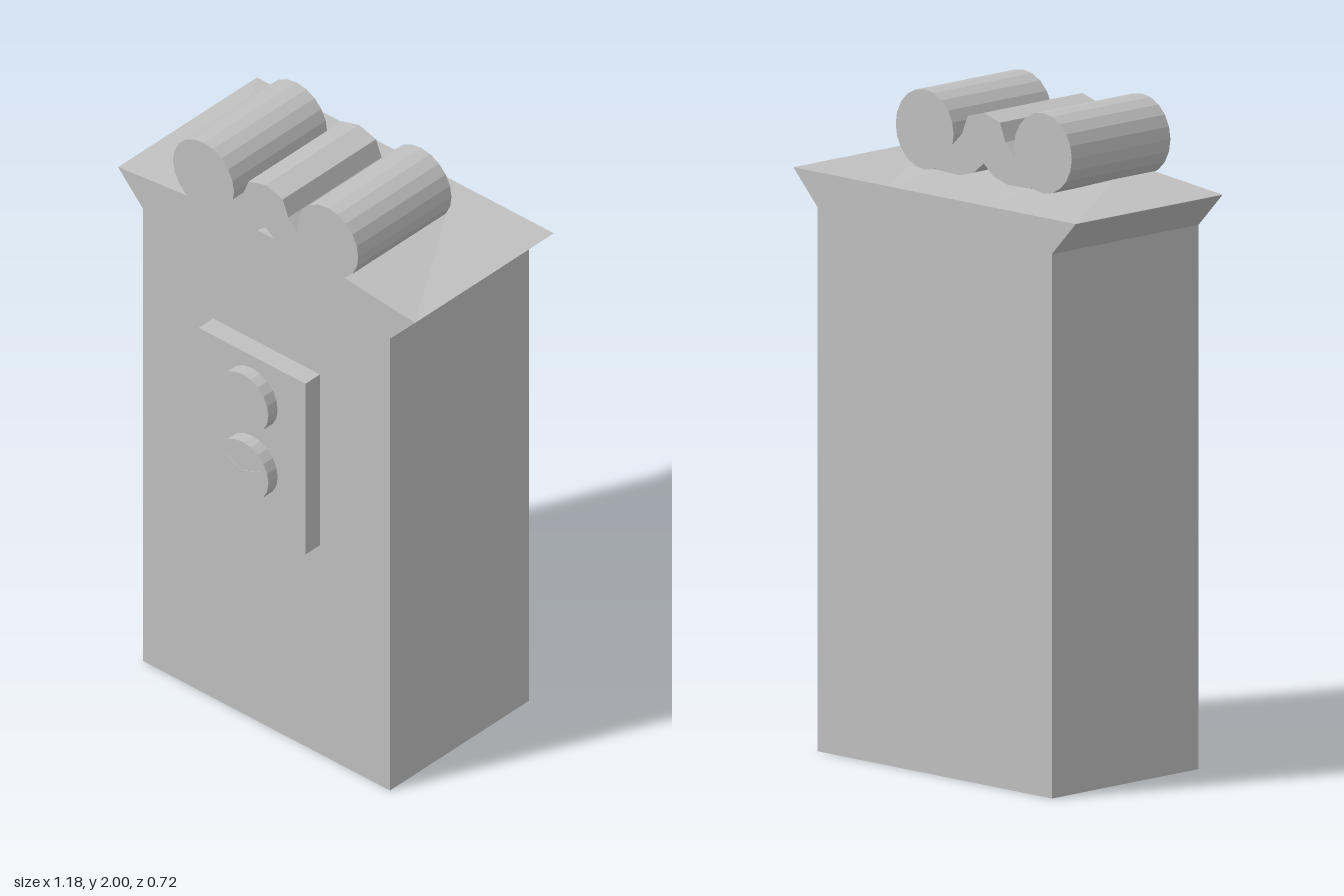
import * as THREE from 'three';

const BACK = -0.362, FRONT = 0.25;

export function createModel() {
  const model = new THREE.Group();
  model.name = 'callPanelTower';
  const grey = new THREE.MeshStandardMaterial({ color: 0xc0c0c0 });
  grey.name = 'plainGrey';

  // Extrude an outline of [x, y] points between two depths, with flat facets.
  function slab(name, points, z0, z1, adjust) {
    const shape = new THREE.Shape(points.map(([x, y]) => new THREE.Vector2(x, y)));
    const geo = new THREE.ExtrudeGeometry(shape, { depth: z1 - z0, bevelEnabled: false });
    geo.translate(0, 0, z0);
    if (adjust) adjust(geo.attributes.position);
    geo.computeVertexNormals();
    const mesh = new THREE.Mesh(geo, grey);
    mesh.name = name;
    model.add(mesh);
    return mesh;
  }

  const circle = (cx, cy, r, n) => Array.from({ length: n }, (_, i) => {
    const a = (i / n) * Math.PI * 2;
    return [cx + r * Math.cos(a), cy + r * Math.sin(a)];
  });

  // Close a half outline (right side, ordered) with its mirror image.
  const mirrored = (half) => [
    ...half,
    ...half.slice().reverse().filter(([x]) => x > 0).map(([x, y]) => [-x, y]),
  ];

  // Tower with flared eaves; the roof is raised at the front and level at the back.
  const eaves = 1.745;
  slab('body', mirrored([[0.49, 0], [0.49, 1.64], [0.59, eaves], [0.2, 1.785], [0, 1.781]]),
    BACK, FRONT, (pos) => {
      for (let i = 0; i < pos.count; i++) {
        if (pos.getZ(i) < 0 && pos.getY(i) > eaves) pos.setY(i, eaves);
      }
    });

  // Roof ornament: two rolls joined by a small arched crest.
  const z0 = -0.157, z1 = 0.254;
  for (const side of [-1, 1]) {
    slab(side < 0 ? 'rightRoll' : 'leftRoll', circle(side * 0.247, 1.879, 0.121, 20), z0, z1);
  }
  const upper = [[0.2, 1.8], [0.13, 1.85], [0.09, 1.89], [0.068, 1.945], [0, 1.965]];
  const lower = [[0, 1.812], [0.04, 1.78], [0.1, 1.762], [0.2, 1.765]];
  const flip = (pts) => pts.filter(([x]) => x > 0).reverse().map(([x, y]) => [-x, y]);
  slab('crest', [...upper, ...flip(upper), ...flip(lower), ...lower], z0, z1);

  // Control panel on the front.
  slab('controlPanel', [[-0.212, 0.757], [0.212, 0.757], [0.212, 1.377], [-0.212, 1.377]], FRONT, 0.314);

  // Round buttons with arrowheads.
  for (const [name, cy, dir] of [['up', 1.23, 1], ['down', 0.985, -1]]) {
    slab(name + 'Button', circle(0, cy, 0.102, 20), 0.314, 0.355);
    slab(name + 'Arrow',
      [[-0.07, -0.027], [0, 0.002], [0.07, -0.027], [0, 0.041]].map(([x, y]) => [x, cy + dir * y]),
      0.353, 0.357);
  }
  return model;
}
